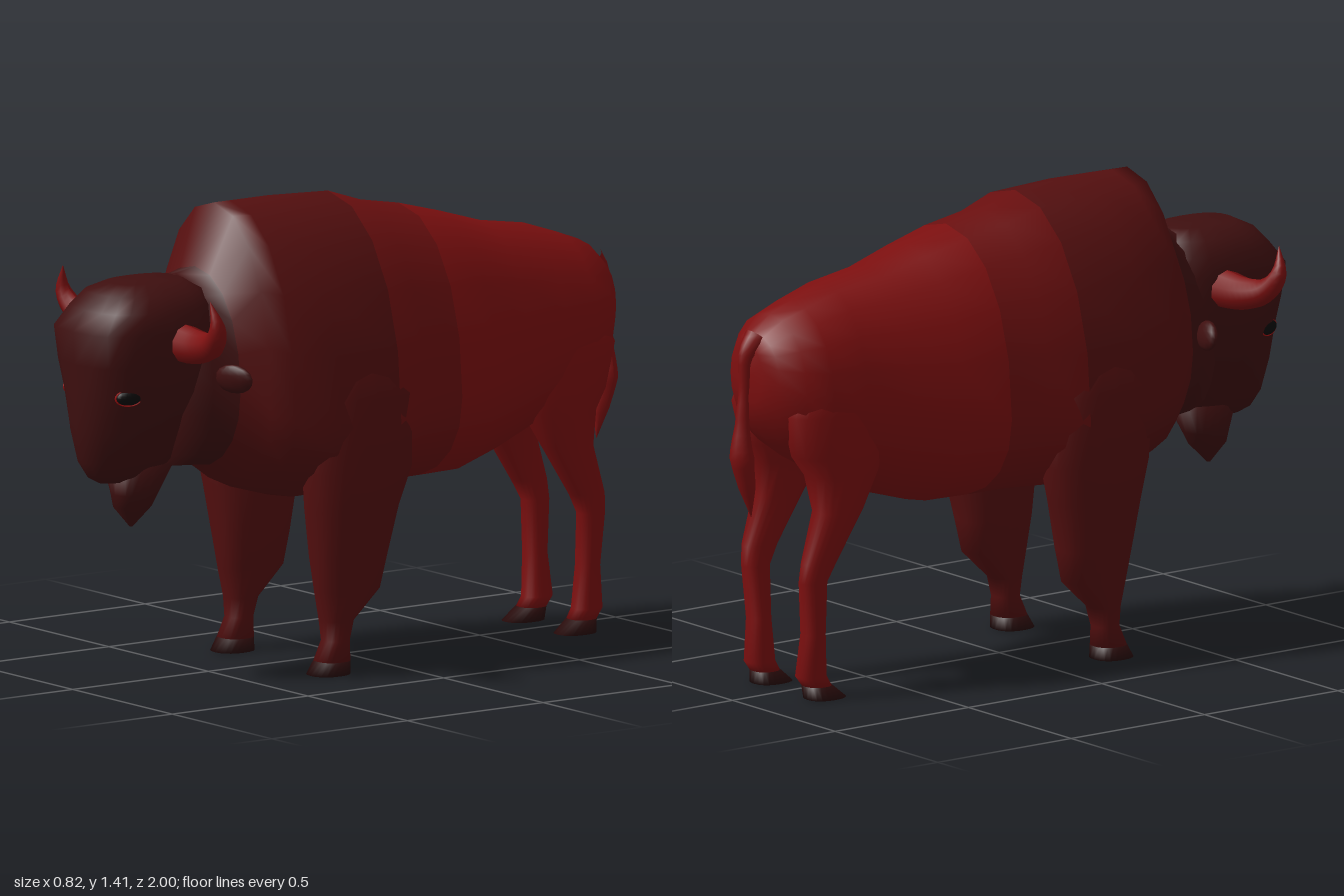
import * as THREE from 'three';

const SIDES = 20;
const mat = (color) => new THREE.MeshStandardMaterial({ color });
const hide = mat(0x7c0f0f), flank = mat(0x6a0f0f), shoulder = mat(0x540f0f);
const wool = mat(0x3e0f0f), hoofMat = mat(0x2a0b0b), black = mat(0x0a0808);
const hornMat = mat(0x7c1010), rimMat = mat(0xa01010);

// Closed outline: centre cu, half width hu, v from v0 through vm (widest) to v1, p < 1 is squarer
function ring(cu, hu, v0, vm, v1, p, place) {
  const pts = [];
  const pow = (t) => Math.sign(t) * Math.abs(t) ** p;
  for (let j = 0; j < SIDES; j++) {
    const a = (j / SIDES) * Math.PI * 2, s = pow(Math.sin(a));
    pts.push(place(cu + hu * pow(Math.cos(a)), vm + s * (s > 0 ? v1 - vm : vm - v0)));
  }
  return pts;
}

// Skin over a list of outlines, closed at both ends; one group per band
function loft(rings) {
  const n = SIDES, pos = rings.flat(2), index = [];
  const geo = new THREE.BufferGeometry();
  const cap = (r, flip) => {
    const c = pos.length / 3, base = r * n;
    const mean = [0, 1, 2].map((k) => rings[r].reduce((sum, p) => sum + p[k], 0) / n);
    pos.push(...mean);
    for (let j = 0; j < n; j++) {
      const a = base + j, b = base + (j + 1) % n;
      index.push(c, ...(flip ? [b, a] : [a, b]));
    }
  };
  cap(0, false);
  for (let i = 0; i < rings.length - 1; i++) {
    for (let j = 0; j < n; j++) {
      const a = i * n + j, b = i * n + (j + 1) % n;
      index.push(a, a + n, b, b, a + n, b + n);
    }
  }
  cap(rings.length - 1, true);
  geo.setAttribute('position', new THREE.Float32BufferAttribute(pos, 3));
  geo.setIndex(index);
  geo.computeVertexNormals();
  return geo;
}

// Upright loft from rows of [y, x0, x1, z0, z1, squareness], bottom to top
const upright = (rows) => loft(rows.map(([y, x0, x1, z0, z1, p = 0.85]) =>
  ring((x0 + x1) / 2, (x1 - x0) / 2, z0, (z0 + z1) / 2, z1, p, (u, v) => [u, y, v])));

// Tube whose radius follows a list of values along the path
function taper(points, radii, steps = 18, sides = 10) {
  const curve = new THREE.CatmullRomCurve3(points.map((p) => new THREE.Vector3(...p)));
  const geo = new THREE.TubeGeometry(curve, steps, 1, sides);
  const pos = geo.attributes.position, v = new THREE.Vector3();
  for (let i = 0; i <= steps; i++) {
    const c = curve.getPointAt(i / steps);
    const t = (i / steps) * (radii.length - 1), k = Math.min(Math.floor(t), radii.length - 2);
    const r = THREE.MathUtils.lerp(radii[k], radii[k + 1], t - k);
    for (let j = 0; j <= sides; j++) {
      const id = i * (sides + 1) + j;
      v.fromBufferAttribute(pos, id).sub(c).multiplyScalar(r).add(c);
      pos.setXYZ(id, v.x, v.y, v.z);
    }
  }
  geo.computeVertexNormals();
  return geo;
}

export function createModel() {
  const model = new THREE.Group();
  const add = (name, geo, material, parent = model) => {
    const mesh = new THREE.Mesh(geo, material);
    mesh.name = name;
    parent.add(mesh);
    return mesh;
  };

  // Body and neck, front to back: [z, half width, bottom, widest height, top]
  const bodyRows = [
    [0.70, 0.15, 0.64, 0.90, 1.20], [0.62, 0.19, 0.635, 0.90, 1.215],
    [0.55, 0.23, 0.63, 0.88, 1.23], [0.48, 0.29, 0.59, 0.82, 1.415],
    [0.42, 0.33, 0.55, 0.79, 1.415], [0.28, 0.37, 0.51, 0.76, 1.415],
    [0.06, 0.37, 0.515, 0.76, 1.405], [-0.06, 0.33, 0.52, 0.78, 1.365],
    [-0.20, 0.322, 0.52, 0.80, 1.34], [-0.35, 0.29, 0.52, 0.82, 1.30],
    [-0.50, 0.25, 0.565, 0.85, 1.255], [-0.66, 0.222, 0.63, 0.88, 1.23],
    [-0.78, 0.212, 0.70, 0.91, 1.19], [-0.86, 0.185, 0.76, 0.94, 1.16],
    [-0.915, 0.12, 0.83, 0.97, 1.11], [-0.935, 0.06, 0.90, 0.98, 1.07],
  ];
  const body = loft(bodyRows.map(([z, w, y0, ym, y1]) =>
    ring(0, w, y0, ym, y1, 0.95, (u, v) => [u, v, z])));
  // Darker bands toward the neck
  const tones = [wool, shoulder, flank, hide], bandSize = SIDES * 6, first = SIDES * 3;
  const cuts = [0, first + 2 * bandSize, first + 6 * bandSize, first + 8 * bandSize, body.index.count];
  tones.forEach((_, i) => body.addGroup(cuts[i], cuts[i + 1] - cuts[i], i));
  add('body', body, tones);

  // Head with broad brow and narrow muzzle
  add('head', upright([
    [0.612, -0.03, 0.03, 0.78, 0.90, 1], [0.63, -0.065, 0.065, 0.70, 0.935, 1],
    [0.68, -0.10, 0.10, 0.63, 0.965, 0.95], [0.78, -0.14, 0.14, 0.58, 0.985, 0.95],
    [0.89, -0.182, 0.182, 0.55, 0.99, 0.95], [0.98, -0.19, 0.19, 0.55, 0.993, 0.75],
    [1.08, -0.19, 0.19, 0.55, 1.0, 0.65], [1.14, -0.17, 0.17, 0.55, 0.955, 0.7],
    [1.185, -0.14, 0.14, 0.57, 0.915, 0.75], [1.212, -0.08, 0.08, 0.62, 0.86, 0.8],
  ]), wool);
  add('beard', upright([
    [0.47, -0.005, 0.005, 0.78, 0.79], [0.53, -0.045, 0.045, 0.72, 0.84],
    [0.57, -0.06, 0.06, 0.70, 0.845], [0.66, -0.085, 0.085, 0.65, 0.865],
  ]), wool);

  for (const s of [1, -1]) {
    const side = s > 0 ? 'left' : 'right';
    const mirror = (rows) => rows.map(([y, a, b, ...rest]) => [y, s > 0 ? a : -b, s > 0 ? b : -a, ...rest]);

    // Legs and hooves
    add(side + 'FrontLeg', upright(mirror([
      [0.04, 0.19, 0.295, 0.17, 0.275], [0.10, 0.20, 0.285, 0.17, 0.25],
      [0.16, 0.19, 0.29, 0.155, 0.255], [0.25, 0.175, 0.31, 0.06, 0.275],
      [0.35, 0.16, 0.33, 0.04, 0.29], [0.50, 0.15, 0.36, 0.01, 0.31],
      [0.62, 0.16, 0.38, -0.03, 0.33], [0.84, 0.18, 0.378, -0.03, 0.34],
      [1.0, 0.20, 0.335, 0.04, 0.29],
    ])), shoulder);
    add(side + 'FrontHoof', upright(mirror([
      [0, 0.182, 0.30, 0.17, 0.30], [0.04, 0.19, 0.296, 0.17, 0.276],
    ])), hoofMat);
    add(side + 'HindLeg', upright(mirror([
      [0.04, 0.082, 0.17, -0.825, -0.74], [0.07, 0.085, 0.165, -0.85, -0.755],
      [0.20, 0.095, 0.17, -0.835, -0.765], [0.36, 0.105, 0.175, -0.85, -0.762],
      [0.42, 0.105, 0.185, -0.845, -0.73], [0.57, 0.09, 0.20, -0.80, -0.635],
      [0.68, 0.05, 0.213, -0.815, -0.575], [0.74, 0.03, 0.217, -0.855, -0.55],
      [0.87, 0.03, 0.217, -0.89, -0.53], [1.0, 0.05, 0.19, -0.84, -0.58],
    ])), hide);
    add(side + 'HindHoof', upright(mirror([
      [0, 0.077, 0.184, -0.82, -0.69], [0.04, 0.082, 0.171, -0.825, -0.738],
    ])), hoofMat);

    // Upturned horn
    add(side + 'Horn', taper([
      [s * 0.15, 1.04, 0.715], [s * 0.26, 1.042, 0.72], [s * 0.345, 1.065, 0.735],
      [s * 0.387, 1.12, 0.75], [s * 0.37, 1.2, 0.765],
    ], [0.062, 0.052, 0.04, 0.026, 0.001]), hornMat);

    // Drooping ear
    const ear = add(side + 'Ear', new THREE.SphereGeometry(1, 12, 8), wool);
    ear.position.set(s * 0.25, 0.93, 0.588);
    ear.scale.set(0.068, 0.045, 0.022);
    ear.rotation.set(0.2, s * 0.3, 0);

    // Almond eye with a thin rim
    const eye = new THREE.Group();
    eye.name = side + 'Eye';
    eye.position.set(s * 0.145, 0.89, 0.9);
    eye.rotation.y = s * 1.2;
    model.add(eye);
    add('eyeball', new THREE.SphereGeometry(1, 14, 10), black, eye).scale.set(0.039, 0.022, 0.013);
    add('eyeRim', new THREE.TorusGeometry(1, 0.08, 6, 20), rimMat, eye).scale.set(0.04, 0.024, 0.03);
  }

  // Thin tail ending in a tuft
  const tail = add('tail', taper([
    [0, 1.10, -0.91], [0, 1.05, -0.95], [0, 0.95, -0.957], [0, 0.85, -0.963],
    [0, 0.74, -0.965], [0, 0.64, -0.945], [0, 0.55, -0.93],
  ], [0.035, 0.018, 0.015, 0.022, 0.037, 0.026, 0.001], 24), hide);
  tail.scale.x = 1.1;
  return model;
}
